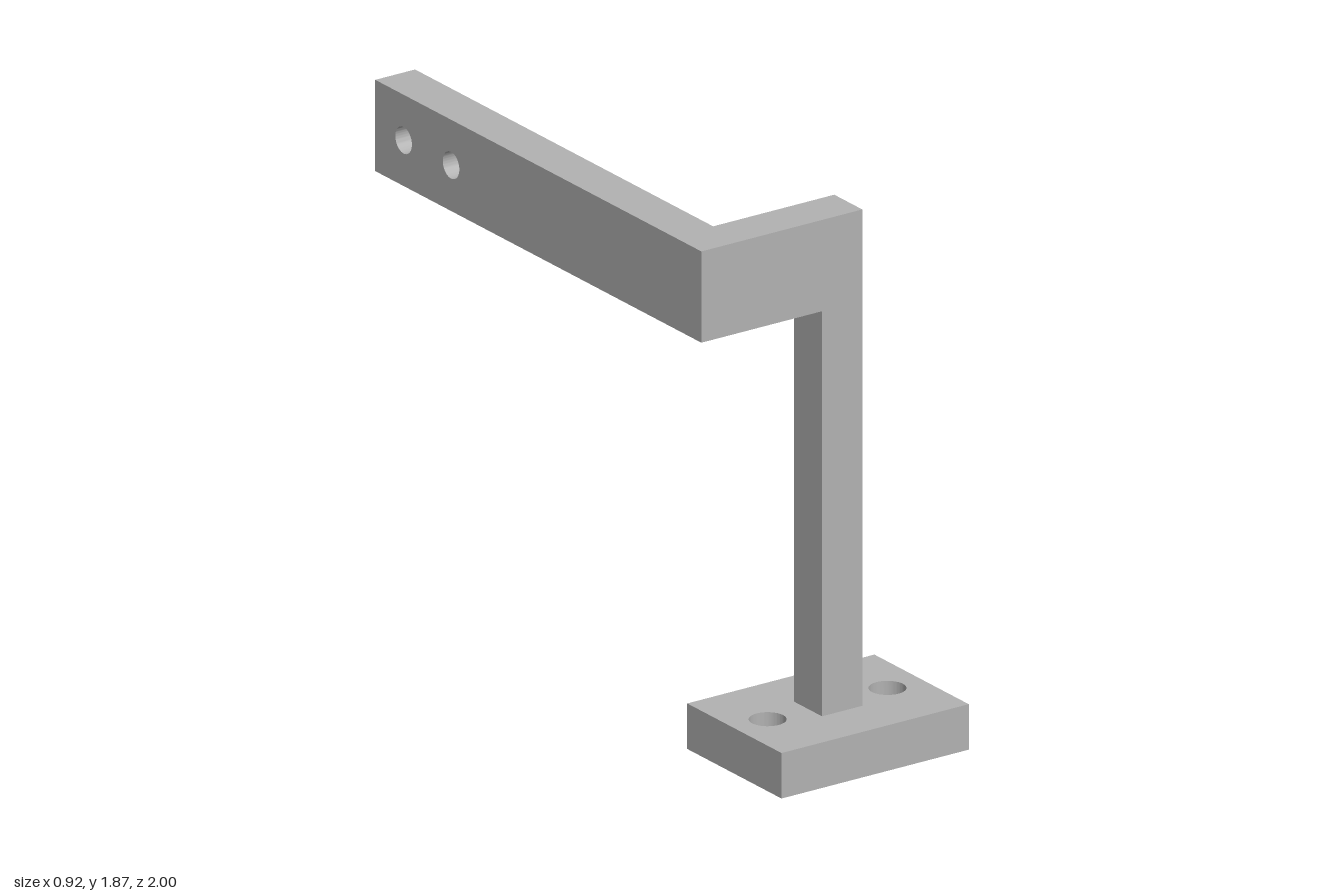
import * as THREE from 'three';
import { toCreasedNormals } from 'three/addons/utils/BufferGeometryUtils.js';

// Flat plate cut from an outline, with round holes given as [x, y, radius]
function plate(name, points, holes, depth, material) {
  const shape = new THREE.Shape(points.map(([x, y]) => new THREE.Vector2(x, y)));
  for (const [x, y, r] of holes) {
    shape.holes.push(new THREE.Path().absarc(x, y, r, 0, Math.PI * 2, true));
  }
  const geometry = new THREE.ExtrudeGeometry(shape, { depth, bevelEnabled: false, curveSegments: 32 });
  const mesh = new THREE.Mesh(toCreasedNormals(geometry, 0.6), material);
  mesh.name = name;
  return mesh;
}

const rect = (x0, y0, x1, y1) => [[x0, y0], [x1, y0], [x1, y1], [x0, y1]];

export function createModel() {
  const group = new THREE.Group();
  group.name = 'mountingBracket';
  const metal = new THREE.MeshStandardMaterial({ color: 0xb2b2b2 });
  metal.name = 'grey metal';

  const baseTop = 0.157, top = 1.87, barBottom = 1.555;

  // Foot plate with a bolt hole on either side of the post
  const base = plate('basePlate', rect(-0.277, 0.475, 0.457, 1),
    [[-0.145, 0.735, 0.061], [0.325, 0.735, 0.061]], baseTop, metal);
  base.rotation.x = Math.PI / 2;
  base.position.y = baseTop;

  // Upright post turning into the short crossbar
  const post = plate('postAndCrossbar', [
    [0.012, baseTop], [0.17, baseTop], [0.17, top],
    [-0.305, top], [-0.305, barBottom], [0.012, barBottom],
  ], [], 0.156, metal);
  post.position.z = 0.659;

  // Long arm reaching backward, with two holes near its end
  const arm = plate('arm', rect(-1, barBottom, 0.815, top),
    [[-0.578, 1.713, 0.046], [-0.842, 1.713, 0.046]], 0.156, metal);
  arm.rotation.y = -Math.PI / 2;
  arm.position.x = -0.305;

  group.add(base, post, arm);
  return group;
}
